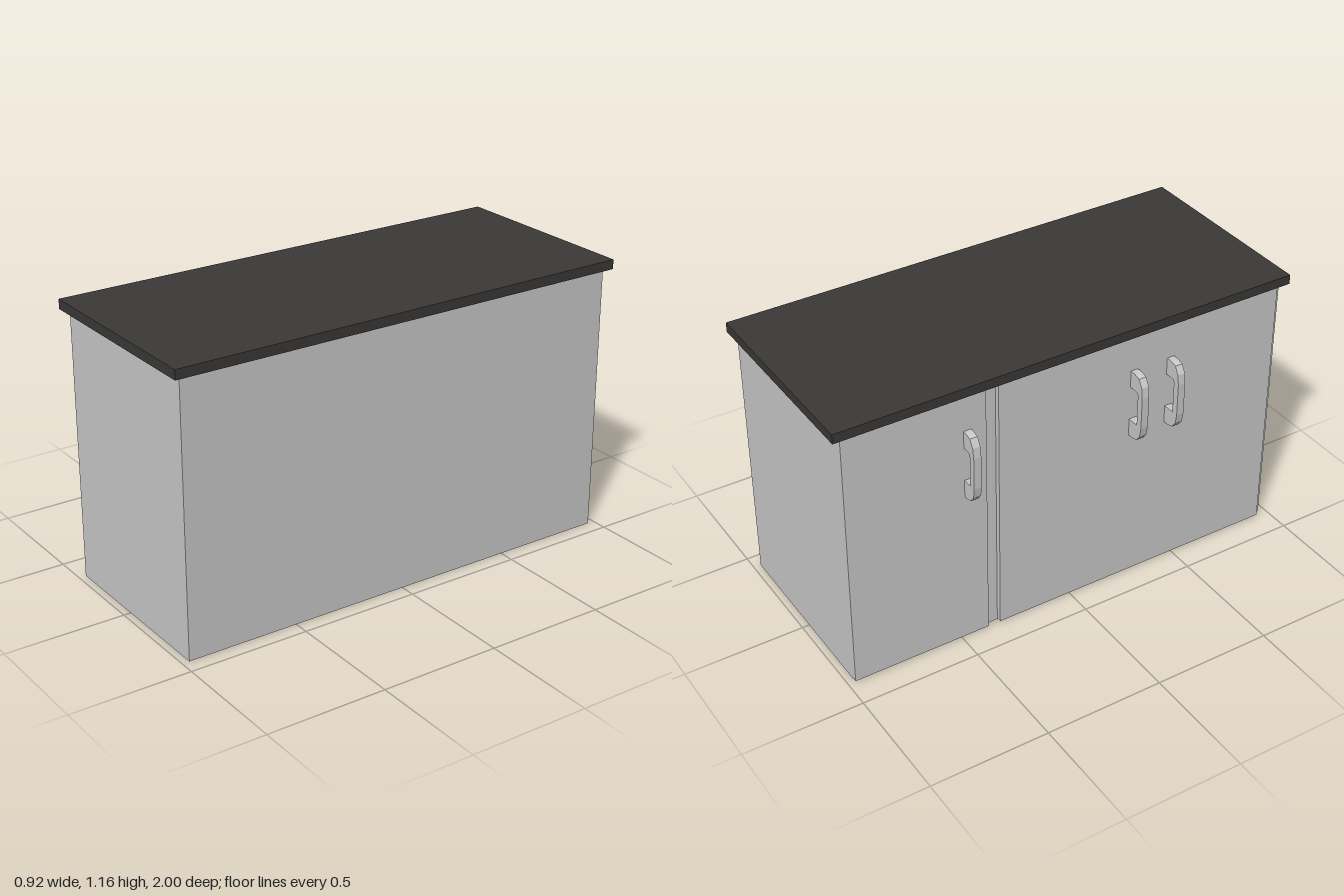
import * as THREE from 'three';

const grey = new THREE.MeshStandardMaterial({ color: 0xcccccc, flatShading: true });
const dark = new THREE.MeshStandardMaterial({ color: 0x3a3937, flatShading: true });

// Box given by its minimum and maximum corners
function block(name, min, max, material) {
  const size = max.map((v, i) => v - min[i]);
  const mesh = new THREE.Mesh(new THREE.BoxGeometry(...size), material);
  mesh.position.set(...max.map((v, i) => (v + min[i]) / 2));
  mesh.name = name;
  return mesh;
}

// Bracket-shaped pull with chamfered outer corners, extruded along z
function handleGeometry(thickness) {
  const outline = [
    [-0.38, 0.977], [-0.41, 0.977], [-0.438, 0.97], [-0.457, 0.938], [-0.463, 0.895],
    [-0.463, 0.757], [-0.457, 0.717], [-0.438, 0.69], [-0.41, 0.682], [-0.38, 0.682],
    [-0.38, 0.757], [-0.435, 0.757], [-0.435, 0.895], [-0.426, 0.904], [-0.38, 0.904],
  ];
  const shape = new THREE.Shape(outline.map(([x, y]) => new THREE.Vector2(x, y)));
  const geometry = new THREE.ExtrudeGeometry(shape, { depth: thickness, bevelEnabled: false });
  return geometry.translate(0, 0, -thickness / 2);
}

export function createModel() {
  const model = new THREE.Group();
  model.name = 'cabinet';

  // Carcass and overhanging worktop
  model.add(block('carcass', [-0.363, 0, -0.97], [0.435, 1.125, 0.97], grey));
  model.add(block('worktop', [-0.39, 1.125, -1], [0.46, 1.165, 1], dark));

  // Narrow and wide door panels with a gap between them
  model.add(block('narrowDoor', [-0.385, 0.005, -0.97], [-0.363, 1.125, -0.38], grey));
  model.add(block('wideDoor', [-0.385, 0.005, -0.327], [-0.363, 1.125, 0.945], grey));

  // One handle on the narrow door (set slightly deeper), two on the wide door
  const geometry = handleGeometry(0.032);
  for (const [z, inset] of [[-0.46, 0.009], [0.275, 0], [0.443, 0]]) {
    const handle = new THREE.Mesh(geometry, grey);
    handle.position.set(inset, 0, z);
    handle.name = 'handle';
    model.add(handle);
  }
  return model;
}
